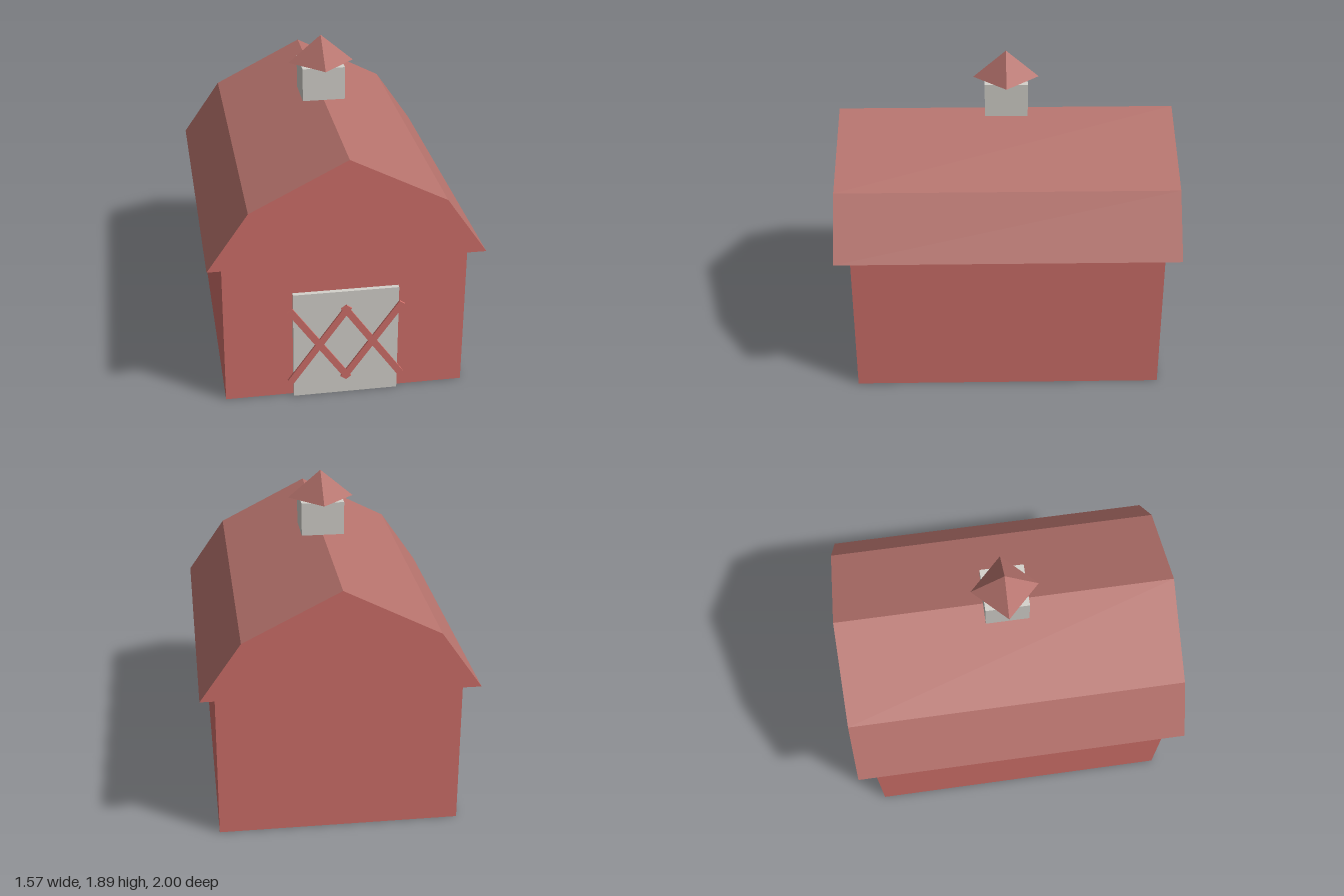
import * as THREE from 'three';

const mat = (name, color) => {
  const m = new THREE.MeshStandardMaterial({ color });
  m.name = name;
  return m;
};

export function createModel() {
  const barn = new THREE.Group();
  barn.name = 'barn';
  const red = mat('barnRed', 0xd0706a);
  const roofRed = mat('roofRed', 0xb5726c);
  const cream = mat('cream', 0xd4d2cc);

  const add = (name, geometry, material, x, y, z, parent = barn) => {
    const mesh = new THREE.Mesh(geometry, material);
    mesh.name = name;
    mesh.position.set(x, y, z);
    parent.add(mesh);
    return mesh;
  };

  // Walls
  add('walls', new THREE.BoxGeometry(1.404, 0.905, 1.826), red, 0, 0.4525, 0);

  // Gambrel roof: red gable ends, darker slopes and underside
  const profile = new THREE.Shape(
    [[-0.787, 0.905], [0.787, 0.905], [0.552, 1.243], [0, 1.524], [-0.552, 1.243]]
      .map(([x, y]) => new THREE.Vector2(x, y)));
  const roof = new THREE.ExtrudeGeometry(profile, { depth: 2, bevelEnabled: false });
  add('roof', roof, [red, roofRed], 0, 0, -1);

  // Cupola with a four-sided cap turned a quarter off the box
  const cupola = new THREE.Group();
  cupola.name = 'cupola';
  barn.add(cupola);
  add('cupolaBox', new THREE.BoxGeometry(0.254, 0.2, 0.254), cream, 0, 1.625, 0, cupola);
  const cap = new THREE.ConeGeometry(0.195, 0.165, 4).toNonIndexed();
  cap.computeVertexNormals();
  add('cupolaRoof', cap, roofRed, 0, 1.8075, 0, cupola);

  // Front door with two crossed braces side by side
  const door = new THREE.Group();
  door.name = 'door';
  barn.add(door);
  add('doorPanel', new THREE.BoxGeometry(0.612, 0.68, 0.03), cream, 0, 0.34, 0.925, door);
  for (const side of [-1, 1]) {
    for (const lean of [-1, 1]) {
      const brace = add('doorBrace', new THREE.BoxGeometry(0.588, 0.04, 0.015), red,
        side * 0.155, 0.343, 0.944, door);
      brace.rotation.z = lean * 0.953;
    }
  }
  return barn;
}
